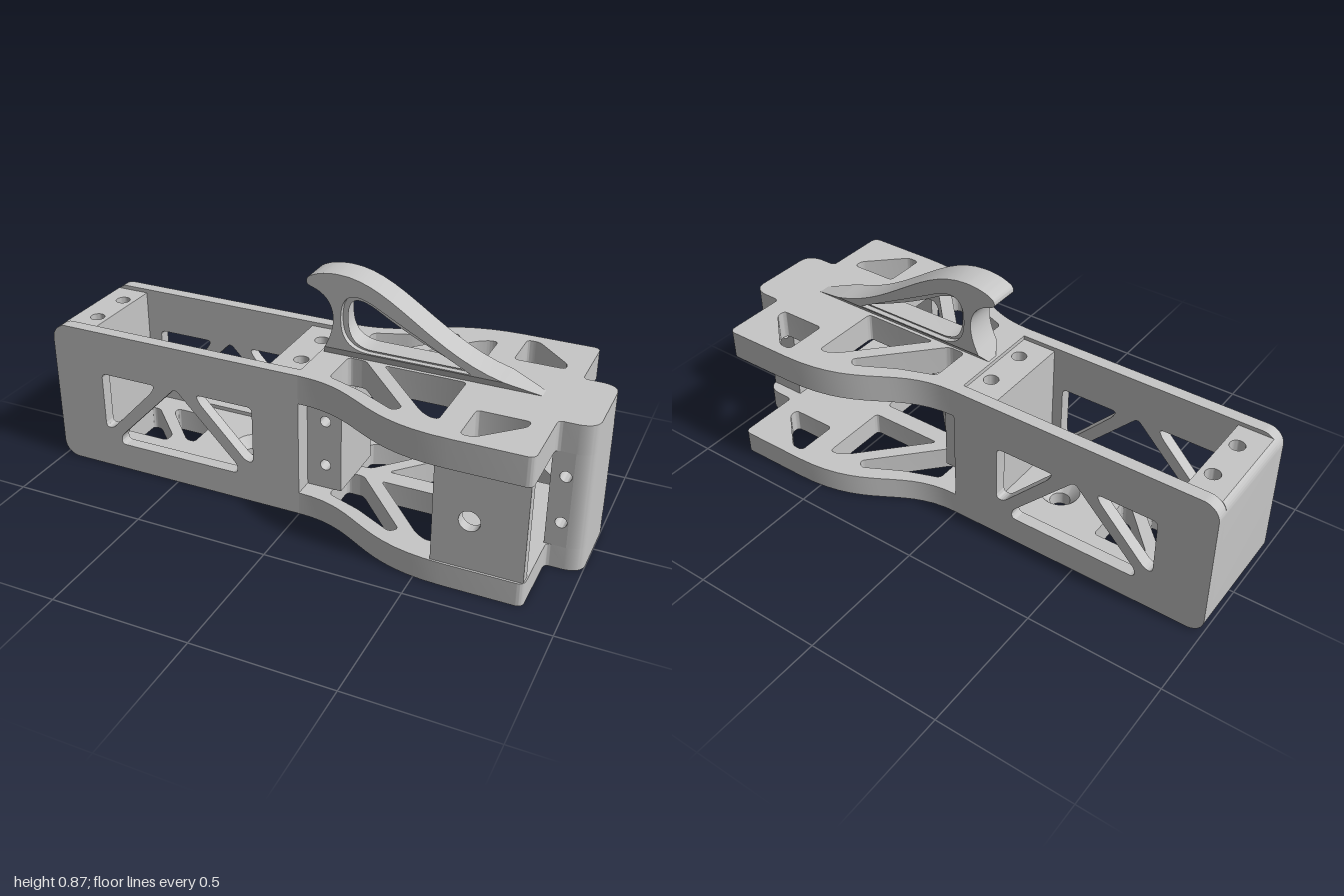
import * as THREE from 'three';
import { toCreasedNormals } from 'three/addons/utils/BufferGeometryUtils.js';
import { ConvexGeometry } from 'three/addons/geometries/ConvexGeometry.js';

const V = (x, y) => new THREE.Vector2(x, y);

// Closed outline with softened corners
function rounded(points, r) {
  const path = new THREE.Path();
  const n = points.length;
  points.forEach((p, i) => {
    const c = V(...p), a = V(...points[(i + n - 1) % n]), b = V(...points[(i + 1) % n]);
    const toward = (q) => {
      const d = q.clone().sub(c);
      return c.clone().addScaledVector(d.clone().normalize(), Math.min(r, d.length() * 0.45));
    };
    const s = toward(a), e = toward(b);
    if (i === 0) path.moveTo(s.x, s.y); else path.lineTo(s.x, s.y);
    path.quadraticCurveTo(c.x, c.y, e.x, e.y);
  });
  path.closePath();
  return path;
}
const poly = (points) => new THREE.Shape(points.map((p) => V(...p)));
const rect = (x0, y0, x1, y1) => poly([[x0, y0], [x1, y0], [x1, y1], [x0, y1]]);
const circle = (x, y, r) => new THREE.Path().absarc(x, y, r, 0, Math.PI * 2, true);
// Mirror across the long axis, keeping the winding
const flip = (points) => points.map(([x, y]) => [x, -y]).reverse();

export function createModel() {
  const group = new THREE.Group();
  const grey = new THREE.MeshStandardMaterial({ color: 0xc6c6c6 });
  grey.name = 'plain grey';

  const add = (name, geometry) => {
    const mesh = new THREE.Mesh(geometry, grey);
    mesh.name = name;
    group.add(mesh);
    return mesh;
  };
  const extrude = (shape, holes, depth) => {
    shape.holes.push(...holes);
    return new THREE.ExtrudeGeometry(shape, { depth, bevelEnabled: false, curveSegments: 14 });
  };
  // Side profile (x, y) extruded from z0 to z1
  const upright = (name, shape, holes, z0, z1) =>
    add(name, toCreasedNormals(extrude(shape, holes, z1 - z0).translate(0, 0, z0), 0.6));
  // Plan profile (x, z) extruded from y0 to y1
  const slab = (name, shape, holes, y0, y1) =>
    add(name, toCreasedNormals(extrude(shape, holes, y1 - y0).rotateX(Math.PI / 2).translate(0, y1, 0), 0.6));

  const H = 0.552, R = 0.06;

  // Tray side walls with truss windows
  const sideWindow = [[-0.8, 0.386], [-0.575, 0.386], [-0.59, 0.355], [-0.77, 0.165], [-0.8, 0.165]];
  const middleWindow = [[-0.49, 0.392], [-0.735, 0.14], [-0.735, 0.105], [-0.245, 0.105], [-0.245, 0.14]];
  const mirrorWindow = sideWindow.map(([x, y]) => [-0.98 - x, y]);
  const wallShape = () => {
    const s = new THREE.Shape();
    s.moveTo(0, 0);
    s.lineTo(0, H);
    s.lineTo(-1 + R, H);
    s.absarc(-1 + R, H - R, R, Math.PI / 2, Math.PI, false);
    s.lineTo(-1, R);
    s.absarc(-1 + R, R, R, Math.PI, Math.PI * 1.5, false);
    return s;
  };
  for (const [name, z0, z1] of [['leftTrayWall', 0.182, 0.228], ['rightTrayWall', -0.228, -0.182]]) {
    const holes = [sideWindow, middleWindow, mirrorWindow].map((p) => rounded(p, 0.02));
    upright(name, wallShape(), holes, z0, z1);
  }

  // Tray end: rounded skin and bolt blocks
  const skin = new THREE.Shape();
  skin.moveTo(-0.94, 0);
  skin.lineTo(-0.94, 0.537);
  skin.lineTo(-0.982, 0.537);
  skin.quadraticCurveTo(-1, 0.522, -1, H - R);
  skin.lineTo(-1, R);
  skin.absarc(-0.94, R, R, Math.PI, Math.PI * 1.5, false);
  upright('trayEndSkin', skin, [], -0.182, 0.182);
  for (const [name, x0, x1, hx] of [['outerBoltBlock', -0.94, -0.855, -0.9], ['innerBoltBlock', -0.14, -0.01, -0.055]]) {
    slab(name, rect(x0, -0.182, x1, 0.182), [circle(hx, 0.085, 0.027), circle(hx, -0.085, 0.027)], 0.09, 0.537);
  }
  slab('trayCrossRim', rect(-0.01, -0.182, 0, 0.182), [], 0.09, H);

  // Tray floor with two triangles and a countersunk hole
  const floorHoles = [
    [[-0.8, -0.085], [-0.765, -0.085], [-0.615, 0.07], [-0.615, 0.112], [-0.8, 0.112]],
    [[-0.7, -0.115], [-0.513, -0.115], [-0.513, 0.078], [-0.548, 0.078], [-0.7, -0.085]],
  ].map((p) => rounded(p, 0.015));
  slab('trayFloor', rect(-0.94, -0.182, 0, 0.182), [...floorHoles, circle(-0.3, 0, 0.072)], 0, 0.09);
  const seat = new THREE.LatheGeometry(
    [V(0.037, 0), V(0.072, 0), V(0.072, 0.09), V(0.037, 0.05), V(0.037, 0)], 32);
  add('countersink', toCreasedNormals(seat, 0.5)).position.set(-0.3, 0, 0);

  // Flared top and bottom plates, including the nose outline
  const plateShape = () => {
    const s = new THREE.Shape();
    s.moveTo(0, 0.228);
    s.bezierCurveTo(0.25, 0.228, 0.27, 0.408, 0.6, 0.408);
    s.lineTo(0.845, 0.408);
    s.quadraticCurveTo(0.873, 0.408, 0.873, 0.38);
    s.lineTo(0.873, 0.175);
    s.quadraticCurveTo(0.873, 0.156, 0.893, 0.156);
    s.lineTo(0.94, 0.156);
    s.quadraticCurveTo(1, 0.15, 1, 0.1);
    s.lineTo(1, -0.1);
    s.quadraticCurveTo(1, -0.15, 0.94, -0.156);
    s.lineTo(0.893, -0.156);
    s.quadraticCurveTo(0.873, -0.156, 0.873, -0.175);
    s.lineTo(0.873, -0.38);
    s.quadraticCurveTo(0.873, -0.408, 0.845, -0.408);
    s.lineTo(0.6, -0.408);
    s.bezierCurveTo(0.27, -0.408, 0.25, -0.228, 0, -0.228);
    return s;
  };
  const trussHoles = [
    [[0.1, 0.03], [0.165, 0.03], [0.4, 0.285], [0.375, 0.312], [0.23, 0.235], [0.1, 0.188]],
    [[0.235, 0.035], [0.53, 0.035], [0.53, 0.305], [0.5, 0.305], [0.46, 0.28]],
    [[0.62, 0.2], [0.8, 0.2], [0.8, 0.235], [0.665, 0.365], [0.62, 0.365]],
  ];
  for (const [name, y0, y1] of [['bottomPlate', 0, 0.087], ['topPlate', 0.445, H]]) {
    const holes = [...trussHoles, ...trussHoles.map(flip)].map((p) => rounded(p, 0.018));
    slab(name, plateShape(), holes, y0, y1);
  }

  // Cross wall behind the tray and nose block, both drilled through
  const bolts = (x) => [circle(x, 0.18, 0.02), circle(x, 0.355, 0.02)];
  upright('crossWall', rect(0, 0.087, 0.13, 0.445), bolts(0.07), -0.11, 0.156);
  upright('noseBlock', rect(0.865, 0.087, 0.94, 0.445), bolts(0.915), -0.11, 0.156);
  const tip = new THREE.Shape();
  tip.moveTo(0.94, 0.156);
  tip.quadraticCurveTo(1, 0.15, 1, 0.1);
  tip.lineTo(1, -0.11);
  tip.lineTo(0.94, -0.11);
  slab('noseTip', tip, [], 0.087, 0.445);

  // Outer side panel on one side only
  upright('sidePanel', rect(0.555, 0.087, 0.868, 0.445), [circle(0.68, 0.268, 0.037)], 0.36, 0.4);

  // Hooked fin with a lined teardrop opening on a tapered foot
  const fin = new THREE.Shape();
  fin.moveTo(0.02, 0.59);
  fin.lineTo(0.66, 0.59);
  fin.bezierCurveTo(0.4, 0.65, 0.26, 0.865, 0.07, 0.865);
  fin.quadraticCurveTo(0, 0.865, -0.04, 0.84);
  fin.quadraticCurveTo(-0.06, 0.815, -0.03, 0.805);
  fin.bezierCurveTo(0.06, 0.78, 0.075, 0.69, 0.02, 0.59);
  const eye = (path, g) => {
    path.moveTo(0.53 + g, 0.599 - g * 0.25);
    path.lineTo(0.19, 0.599 - g * 0.25);
    path.bezierCurveTo(0.11 - g, 0.599 - g * 0.25, 0.1 - g, 0.66, 0.1 - g, 0.71);
    path.bezierCurveTo(0.1 - g, 0.79 + g, 0.14, 0.785 + g, 0.2, 0.755 + g);
    path.quadraticCurveTo(0.34 + g, 0.67 + g, 0.53 + g, 0.599 - g * 0.25);
    return path;
  };
  upright('hookFin', fin, [eye(new THREE.Path(), 0.02)], -0.056, 0.056);
  upright('hookLining', eye(new THREE.Shape(), 0.02), [eye(new THREE.Path(), 0)], -0.036, 0.036);
  const foot = [];
  for (const s of [1, -1]) {
    for (const [x, y, z] of [[0.02, 0.59, 0.056], [0.66, 0.59, 0.056], [0, 0.55, 0.02], [0.79, 0.55, 0.02]]) {
      foot.push(new THREE.Vector3(x, y, s * z));
    }
  }
  add('hookFoot', new ConvexGeometry(foot));

  return group;
}
